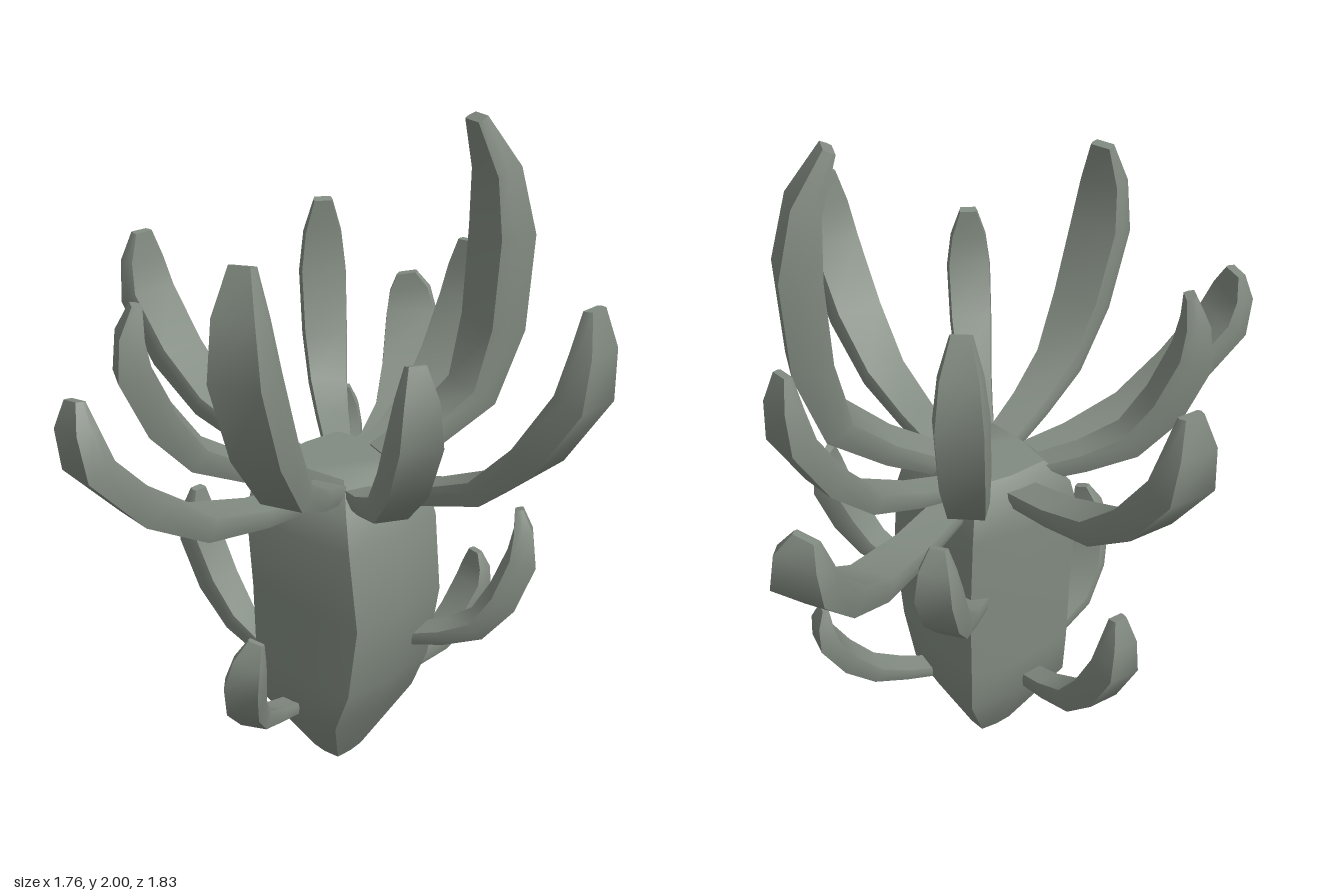
import * as THREE from 'three';
import { toCreasedNormals } from 'three/addons/utils/BufferGeometryUtils.js';

// Skin a list of rings (counter-clockwise about the travel direction), capped at both ends
function loft(rings) {
  const n = rings[0].length, pos = [];
  const tri = (...p) => p.forEach(v => pos.push(v.x, v.y, v.z));
  for (let r = 0; r < rings.length - 1; r++) {
    const a = rings[r], b = rings[r + 1];
    for (let i = 0; i < n; i++) {
      const j = (i + 1) % n;
      tri(a[i], a[j], b[j]);
      tri(a[i], b[j], b[i]);
    }
  }
  const first = rings[0], last = rings[rings.length - 1];
  for (let i = 1; i < n - 1; i++) {
    tri(first[0], first[i + 1], first[i]);
    tri(last[0], last[i], last[i + 1]);
  }
  const g = new THREE.BufferGeometry();
  g.setAttribute('position', new THREE.Float32BufferAttribute(pos, 3));
  return toCreasedNormals(g, 0.75);
}

// Squarish trunk cross-section with slightly bowed sides
function trunkRing([y, x0, x1, z0, z1]) {
  const cx = (x0 + x1) / 2, cz = (z0 + z1) / 2, hx = (x1 - x0) / 2, hz = (z1 - z0) / 2, c = 0.91;
  return [[0, 1], [c, c], [1, 0], [c, -c], [0, -1], [-c, -c], [-1, 0], [-c, c]]
    .map(([u, v]) => new THREE.Vector3(cx + u * hx, y, cz + v * hz));
}

// Shared arm profile: reach, rise, outward hook, sag, sideways bow, width and thickness at each station
const REACH = [0, 0.3, 0.57, 0.8, 0.985, 1.01, 1];
const RISE = [0, 0.07, 0.17, 0.38, 0.66, 0.85, 1];
const HOOK = [0, 0.1, 0.2, 0.2, 0.15, 0.1, 0];
const SAG = [0, 0.7, 1, 0.8, 0.3, 0, 0];
const BOW = [0, 0.6, 1, 0.95, 0.6, 0.3, 0];
const WIDE = [0.6, 0.7, 0.82, 0.96, 1, 0.8, 0.4];
const THICK = [0.5, 0.6, 0.8, 1, 1, 0.7, 0.3];
const SECTION = [[0.5, 0.1], [0.46, 0.5], [-0.46, 0.5], [-0.5, 0.1], [-0.42, -0.5], [0.42, -0.5]];

// Curved strap-like arm sweeping outward, then up
function armGeometry({ root, tip, width, thick, hook = 0, sag = 0, bow = 0 }) {
  const a = new THREE.Vector3(...root), b = new THREE.Vector3(...tip);
  const across = new THREE.Vector3(b.z - a.z, 0, a.x - b.x).normalize();
  const centre = REACH.map((r, i) => {
    const f = r + hook * HOOK[i];
    return new THREE.Vector3(
      a.x + (b.x - a.x) * f,
      a.y + (b.y - a.y) * RISE[i] - sag * SAG[i],
      a.z + (b.z - a.z) * f).addScaledVector(across, bow * BOW[i]);
  });
  const rings = centre.map((p, i) => {
    const t = centre[Math.min(i + 1, centre.length - 1)].clone()
      .sub(centre[Math.max(i - 1, 0)]).normalize();
    const side = across.clone().addScaledVector(t, -across.dot(t)).normalize();
    const n = t.clone().cross(side);
    return SECTION.map(([u, v]) => p.clone()
      .addScaledVector(side, u * width * WIDE[i])
      .addScaledVector(n, v * thick * THICK[i]));
  });
  return loft(rings);
}

// Crown of long arms around the top of the trunk
const CROWN = [
  { root: [0.13, 0.95, -0.04], tip: [0.835, 1.65, -0.05], width: 0.175, thick: 0.09 },
  { root: [0.13, 0.96, 0.06], tip: [0.565, 1.53, 0.31], width: 0.14, thick: 0.09, hook: 0.3 },
  { root: [0.09, 0.97, 0.1], tip: [0.25, 1.78, 0.59], width: 0.18, thick: 0.1, hook: 0.5, bow: 0.02 },
  { root: [0.02, 0.94, 0.1], tip: [-0.09, 1.42, 0.86], width: 0.18, thick: 0.09, sag: 0.03, bow: 0.04 },
  { root: [-0.08, 0.97, 0.1], tip: [-0.31, 1.53, 0.47], width: 0.15, thick: 0.1, hook: 0.4 },
  { root: [-0.12, 0.95, 0], tip: [-0.845, 1.55, 0], width: 0.175, thick: 0.09 },
  { root: [-0.1, 0.98, -0.12], tip: [-0.38, 1.67, -0.35], width: 0.15, thick: 0.1, hook: 0.6 },
  { root: [-0.05, 0.93, -0.14], tip: [-0.455, 1.31, -0.85], width: 0.18, thick: 0.09, sag: 0.07, bow: -0.04 },
  { root: [-0.02, 0.96, -0.13], tip: [-0.07, 1.53, -0.69], width: 0.15, thick: 0.08 },
  { root: [0.08, 1.0, -0.12], tip: [0.185, 1.99, -0.385], width: 0.205, thick: 0.12, hook: 2.5 },
];

// Short arms growing from the sides of the trunk
const LOWER = [
  { root: [0.22, 0.46, -0.1], tip: [0.47, 0.9, -0.29], width: 0.13, thick: 0.08, hook: 0.4, bow: -0.05 },
  { root: [-0.01, 0.23, 0.16], tip: [0.15, 0.65, 0.48], width: 0.12, thick: 0.07, hook: 0.2, bow: -0.06 },
  { root: [-0.13, 0.25, 0.04], tip: [-0.575, 0.75, 0.04], width: 0.12, thick: 0.09, hook: 0.1 },
  { root: [-0.14, 0.62, -0.14], tip: [-0.35, 1.04, -0.41], width: 0.13, thick: 0.08, hook: 0.4 },
  { root: [0.07, 0.23, -0.15], tip: [0.15, 0.57, -0.51], width: 0.12, thick: 0.065, hook: 0.1 },
];

export function createModel() {
  const model = new THREE.Group();
  model.name = 'branchingCoral';
  const skin = new THREE.MeshStandardMaterial({ color: 0x828b81 });
  skin.name = 'greyGreen';

  const add = (parent, name, geometry) => {
    const mesh = new THREE.Mesh(geometry, skin);
    mesh.name = name;
    parent.add(mesh);
  };

  // Trunk: pointed foot, bulging middle, sloped shoulders
  add(model, 'trunk', loft([
    [0, -0.055, 0.06, -0.07, 0.05],
    [0.22, -0.175, 0.185, -0.195, 0.195],
    [0.36, -0.185, 0.245, -0.2, 0.2],
    [0.6, -0.19, 0.285, -0.205, 0.205],
    [0.85, -0.195, 0.265, -0.2, 0.22],
    [0.95, -0.19, 0.225, -0.19, 0.19],
    [1.02, -0.14, 0.15, -0.16, 0.12],
  ].map(trunkRing)));

  for (const [label, arms] of [['crownArm', CROWN], ['lowerArm', LOWER]]) {
    const group = new THREE.Group();
    group.name = label + 's';
    arms.forEach((arm, i) => add(group, label + (i + 1), armGeometry(arm)));
    model.add(group);
  }
  return model;
}
